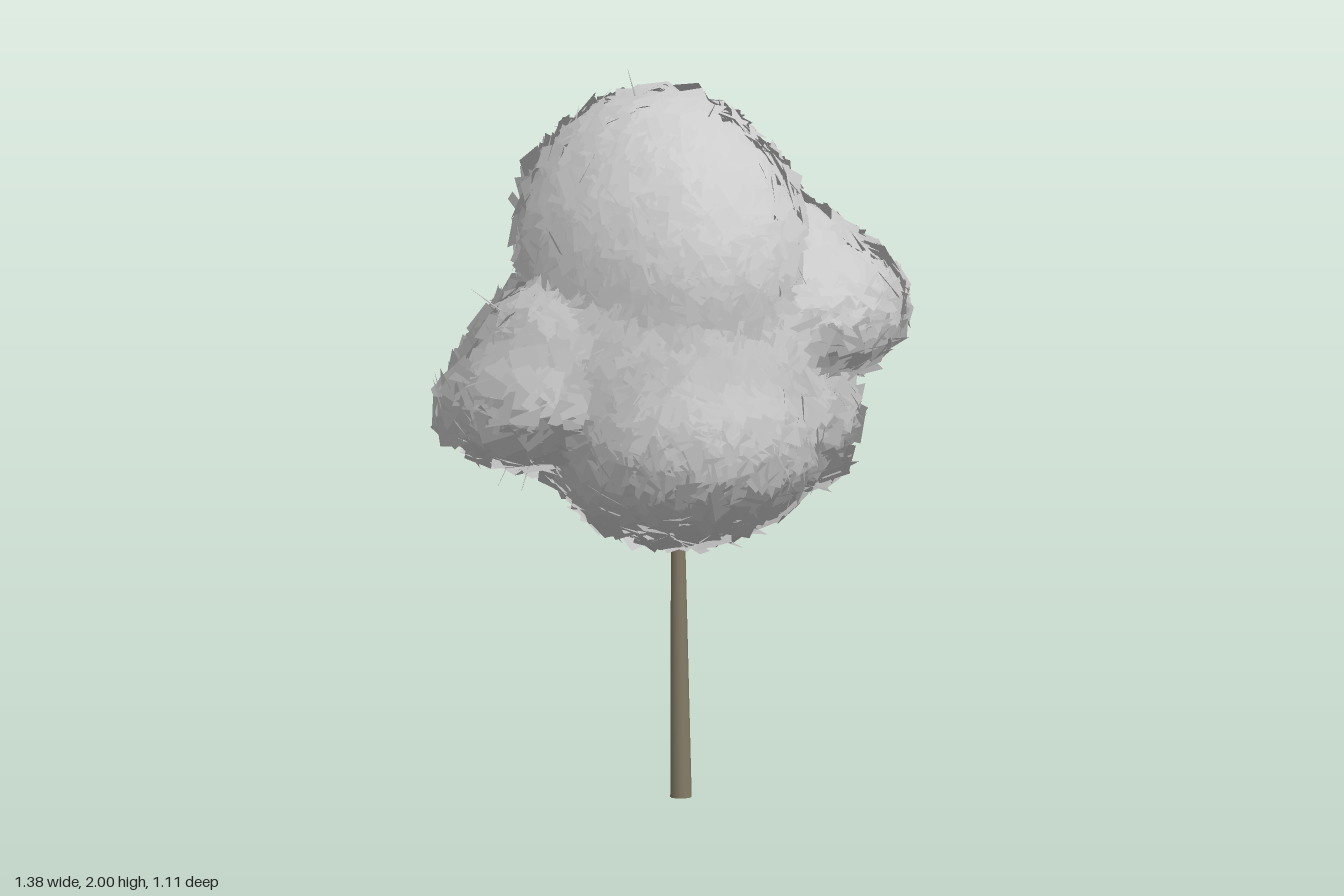
import * as THREE from 'three';

// Foliage lobes: centre and radii
const LOBES = [
  { c: [0.0, 1.52, 0.01], r: [0.35, 0.405, 0.465] },    // crown
  { c: [0.15, 1.58, -0.1], r: [0.27, 0.24, 0.31] },     // crown shoulder
  { c: [0.0, 1.18, 0.02], r: [0.42, 0.38, 0.43] },      // core
  { c: [0.39, 1.34, 0.08], r: [0.265, 0.2, 0.32] },     // upper left side
  { c: [0.32, 1.42, 0.05], r: [0.22, 0.2, 0.28] },      // upper left shoulder
  { c: [0.27, 1.36, -0.16], r: [0.23, 0.24, 0.2] },     // upper back left
  { c: [-0.41, 1.12, 0.05], r: [0.25, 0.16, 0.22] },    // right tip
  { c: [-0.3, 1.17, 0.02], r: [0.26, 0.25, 0.25] },     // right side
  { c: [-0.02, 1.0, 0.2], r: [0.36, 0.26, 0.33] },      // low front
  { c: [-0.02, 1.23, -0.18], r: [0.37, 0.22, 0.35] },   // back
  { c: [0.34, 1.0, -0.18], r: [0.24, 0.2, 0.24] },      // low back left
  { c: [0.19, 0.92, -0.13], r: [0.25, 0.21, 0.27] },    // bottom
  { c: [0.28, 1.05, 0.16], r: [0.2, 0.21, 0.2] },       // low front left
].map(l => ({ c: new THREE.Vector3(...l.c), r: new THREE.Vector3(...l.r) }));

const HEART = new THREE.Vector3(0.04, 1.22, 0);

function seeded(seed) {
  return () => {
    seed = (seed * 1664525 + 1013904223) >>> 0;
    return seed / 4294967296;
  };
}

// Smoothly blended lobes: above 1 inside, below 1 outside
function field(x, y, z) {
  let sum = 0;
  for (const { c, r } of LOBES) {
    const d = Math.hypot((x - c.x) / r.x, (y - c.y) / r.y, (z - c.z) / r.z);
    sum += Math.exp(-18 * (d - 0.97));
  }
  return sum;
}

// Direction pointing out of the blended lobes
function outward(p) {
  const e = 0.01, f = field(p.x, p.y, p.z);
  return new THREE.Vector3(
    f - field(p.x + e, p.y, p.z), f - field(p.x, p.y + e, p.z), f - field(p.x, p.y, p.z + e),
  ).normalize();
}

// Square leaf cards scattered over the blended surface, shaded as one round mass
function leafGeometry(count) {
  const rand = seeded(7);
  const jitter = a => (rand() * 2 - 1) * a;
  const pos = [], nor = [], idx = [];
  const golden = Math.PI * (3 - Math.sqrt(5));
  const facing = new THREE.Vector3(0, 0, 1);

  for (let i = 0; i < count; i++) {
    const y = 1 - 2 * (i + 0.5) / count, s = Math.sqrt(1 - y * y);
    const dir = new THREE.Vector3(s * Math.cos(i * golden), y, s * Math.sin(i * golden));
    const p = new THREE.Vector3();
    let reach = 1;
    do {
      reach -= 0.004;
      p.copy(HEART).addScaledVector(dir, reach);
    } while (field(p.x, p.y, p.z) < 1);

    const n = outward(p);
    p.addScaledVector(n, jitter(0.018));
    const tilted = n.clone().add(new THREE.Vector3(jitter(0.5), jitter(0.5), jitter(0.5))).normalize();
    const q = new THREE.Quaternion().setFromUnitVectors(facing, tilted);
    const shade = n.clone().addScaledVector(dir, 0.6).normalize();
    const spin = rand() * Math.PI * 2, half = 0.06 + jitter(0.01);
    const base = pos.length / 3;
    for (let k = 0; k < 4; k++) {
      const a = spin + k * Math.PI / 2;
      const v = new THREE.Vector3(Math.cos(a) * half, Math.sin(a) * half, 0).applyQuaternion(q).add(p);
      pos.push(v.x, v.y, v.z);
      nor.push(shade.x, shade.y, shade.z);
    }
    idx.push(base, base + 1, base + 2, base, base + 2, base + 3);
  }
  const g = new THREE.BufferGeometry();
  g.setAttribute('position', new THREE.Float32BufferAttribute(pos, 3));
  g.setAttribute('normal', new THREE.Float32BufferAttribute(nor, 3));
  g.setIndex(idx);
  return g;
}

// Tapered limb between two points
function limb(name, from, to, r0, r1, material, sides = 12) {
  const a = new THREE.Vector3(...from), b = new THREE.Vector3(...to);
  const d = b.clone().sub(a);
  const mesh = new THREE.Mesh(new THREE.CylinderGeometry(r1, r0, d.length(), sides), material);
  mesh.position.copy(a).add(b).multiplyScalar(0.5);
  mesh.quaternion.setFromUnitVectors(new THREE.Vector3(0, 1, 0), d.normalize());
  mesh.name = name;
  return mesh;
}

export function createModel() {
  const tree = new THREE.Group();
  tree.name = 'tree';
  const bark = new THREE.MeshStandardMaterial({ color: 0x857c68 });
  const leaf = new THREE.MeshStandardMaterial({ color: 0xcccccc, side: THREE.DoubleSide });

  // Trunk and the branches hidden in the foliage
  tree.add(limb('trunk', [0.07, 0, 0], [0.062, 0.8, -0.004], 0.029, 0.018, bark));
  tree.add(limb('upperTrunk', [0.062, 0.8, -0.004], [0.03, 1.4, 0], 0.018, 0.01, bark));
  for (const tip of [[0.4, 1.3, 0.08], [-0.35, 1.15, 0.03], [0, 1.2, -0.25], [0, 1.1, 0.25]]) {
    tree.add(limb('branch', [0.062, 0.86, 0], tip, 0.012, 0.005, bark, 6));
  }

  // Foliage
  const foliage = new THREE.Mesh(leafGeometry(6000), leaf);
  foliage.name = 'foliage';
  tree.add(foliage);

  // Fine stray shoots
  const shoots = [
    [[-0.07, 1.9, 0.02], [-0.1, 2.0, 0.02]], [[0.05, 1.88, 0.2], [0.05, 1.93, 0.25]],
    [[-0.45, 1.35, 0], [-0.56, 1.43, 0]], [[-0.48, 1.0, 0.1], [-0.54, 0.91, 0.12]],
    [[-0.45, 1.0, 0.15], [-0.5, 0.9, 0.18]],
  ];
  for (const [a, b] of shoots) tree.add(limb('shoot', a, b, 0.003, 0.0005, leaf, 4));
  return tree;
}
